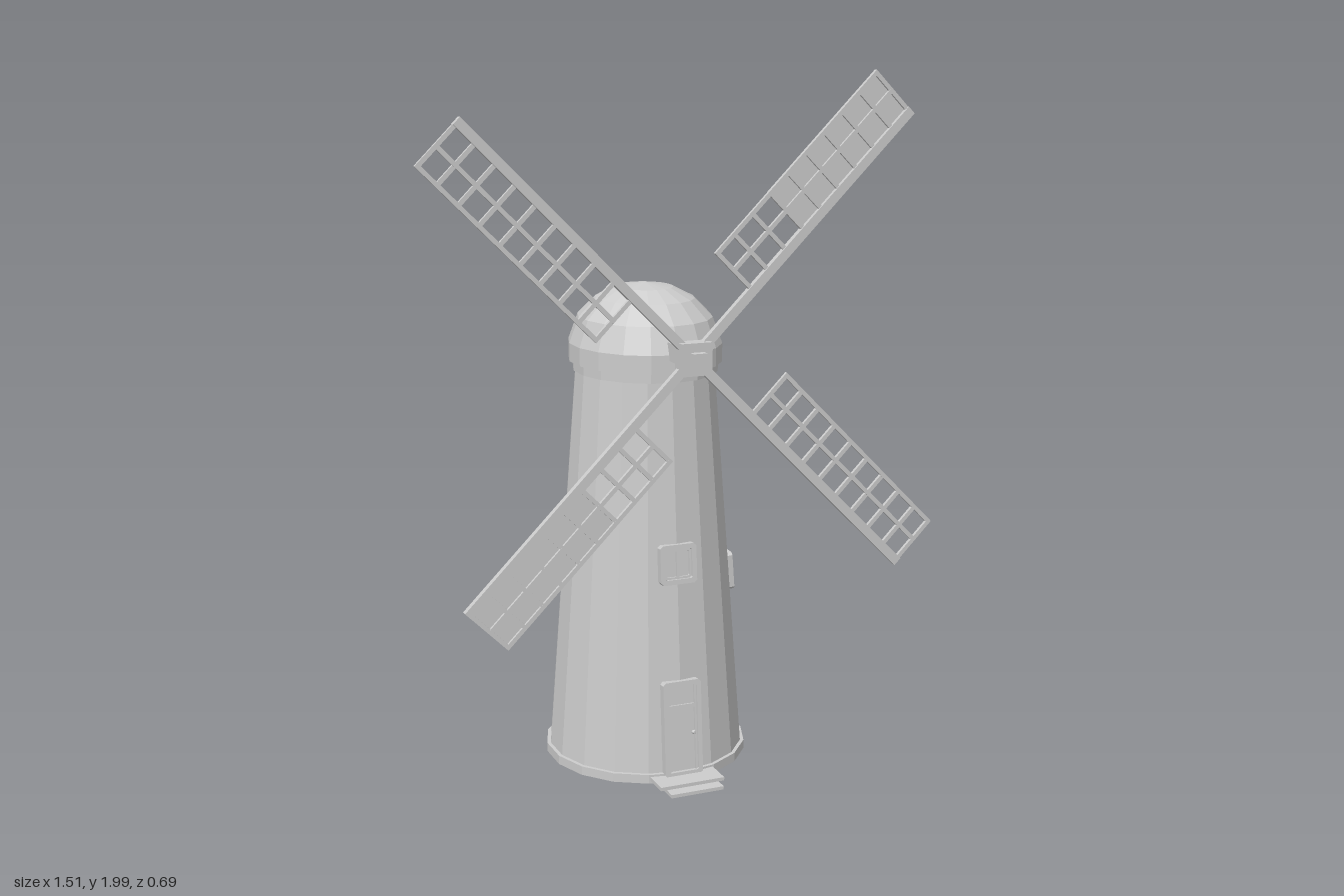
import * as THREE from 'three';

const SIDES = 18, AXIS_Z = -0.05, HUB_Y = 1.24, SAIL_Z = 0.296;
const TILT = Math.atan(0.085 / 1.14);
const wallRadius = (y) => 0.286 - 0.0746 * (y - 0.03);

export function createModel() {
  const model = new THREE.Group();
  model.name = 'windmill';
  const grey = new THREE.MeshStandardMaterial({ color: 0xcccccc, flatShading: true });
  grey.name = 'light grey';

  const add = (parent, name, geometry, x = 0, y = 0, z = 0) => {
    const mesh = new THREE.Mesh(geometry, grey);
    mesh.name = name;
    mesh.position.set(x, y, z);
    parent.add(mesh);
    return mesh;
  };
  const box = (parent, name, w, h, d, x, y, z) =>
    add(parent, name, new THREE.BoxGeometry(w, h, d), x, y, z);

  // Rectangular outline with clipped corners, centred on the origin
  const outline = (Type, w, h, c) => {
    const a = w / 2, b = h / 2;
    return new Type([
      [-a + c, -b], [a - c, -b], [a, -b + c], [a, b - c],
      [a - c, b], [-a + c, b], [-a, b - c], [-a, -b + c],
    ].map(([x, y]) => new THREE.Vector2(x, y)));
  };
  const frameGeometry = (w, h, rim, depth) => {
    const shape = outline(THREE.Shape, w, h, 0.008);
    shape.holes.push(outline(THREE.Path, w - 2 * rim, h - 2 * rim, 0.004));
    return new THREE.ExtrudeGeometry(shape, { depth, bevelEnabled: false });
  };

  // Group lying flat on the sloping tower wall
  const onWall = (name, angle, y) => {
    const group = new THREE.Group();
    group.name = name;
    const r = wallRadius(y);
    group.position.set(Math.sin(angle) * r, y, AXIS_Z + Math.cos(angle) * r);
    group.rotation.order = 'YXZ';
    group.rotation.set(-TILT, angle, 0);
    model.add(group);
    return group;
  };

  // Tower with its base ring
  add(model, 'baseRing', new THREE.CylinderGeometry(0.297, 0.297, 0.026, SIDES), 0, 0.013, AXIS_Z);
  add(model, 'tower', new THREE.CylinderGeometry(wallRadius(1.17), wallRadius(0.02), 1.15, SIDES), 0, 0.595, AXIS_Z);

  // Domed cap, longer from front to back
  const capProfile = [[0, 1.15], [0.205, 1.15], [0.205, 1.178], [0.217, 1.178], [0.217, 1.23],
    [0.19, 1.305], [0.14, 1.357], [0.08, 1.388], [0, 1.4]];
  const cap = add(model, 'cap', new THREE.LatheGeometry(
    capProfile.map(([r, y]) => new THREE.Vector2(r, y)), SIDES), 0, 0, AXIS_Z);
  cap.scale.z = 1.13;

  // Windows on the front, left and back walls
  for (const [name, angle, y] of [['frontWindow', 0, 0.633], ['leftWindow', Math.PI / 2, 0.525], ['backWindow', Math.PI, 0.942]]) {
    const win = onWall(name, angle, y);
    add(win, 'windowFrame', frameGeometry(0.11, 0.114, 0.014, 0.035), 0, 0, -0.022);
    add(win, 'windowSash', frameGeometry(0.084, 0.088, 0.007, 0.02), 0, 0, -0.014);
    box(win, 'windowPane', 0.084, 0.088, 0.012, 0, 0, -0.006);
    box(win, 'windowMullion', 0.008, 0.084, 0.014, 0, 0, 0);
  }

  // Door with frame, rail and knob
  const door = onWall('door', 0, 0.155);
  add(door, 'doorFrame', frameGeometry(0.116, 0.28, 0.013, 0.034), 0, 0, -0.02);
  box(door, 'doorLeaf', 0.094, 0.258, 0.014, 0, 0, -0.005);
  box(door, 'doorRail', 0.092, 0.01, 0.008, 0, 0.064, 0.004);
  for (const s of [-1, 1]) box(door, 'doorStile', 0.007, 0.256, 0.008, s * 0.042, 0, 0.004);
  add(door, 'doorKnob', new THREE.IcosahedronGeometry(0.007, 0), 0.033, -0.015, 0.012);

  // Doorsteps
  box(model, 'lowerStep', 0.16, 0.01, 0.145, 0, 0.005, 0.2725);
  box(model, 'upperStep', 0.195, 0.01, 0.11, 0, 0.015, 0.255);

  // Axle and hub
  box(model, 'axle', 0.05, 0.05, 0.16, 0, HUB_Y, 0.22);
  box(model, 'hub', 0.09, 0.09, 0.045, 0, HUB_Y, 0.301);
  box(model, 'hubNose', 0.04, 0.04, 0.028, 0, HUB_Y, 0.332);

  // Four lattice sails, two of them partly covered with cloth
  const start = 0.24, end = 0.912, width = 0.155, cells = 9;
  const step = (end - start) / cells, bar = 0.012;
  for (let i = 0; i < 4; i++) {
    const sail = new THREE.Group();
    sail.name = 'sail';
    sail.position.set(0, HUB_Y, SAIL_Z);
    sail.rotation.z = Math.PI / 4 + i * Math.PI / 2;
    model.add(sail);
    box(sail, 'spar', end, 0.026, 0.018, end / 2, 0, 0);
    for (const y of [width / 2 + 0.003, width - bar / 2])
      box(sail, 'lengthwiseBar', end - start, bar, 0.01, (start + end) / 2, y, 0);
    for (let k = 0; k <= cells; k++) {
      const x = Math.min(Math.max(start + k * step, start + bar / 2), end - bar / 2);
      box(sail, 'crossBar', bar, width, 0.0096, x, width / 2, 0);
    }
    if (i % 2 === 0) {
      const from = start + 3 * step;
      box(sail, 'sailCloth', end - from, width, 0.004, (from + end) / 2, width / 2, -0.005);
    }
  }
  return model;
}
